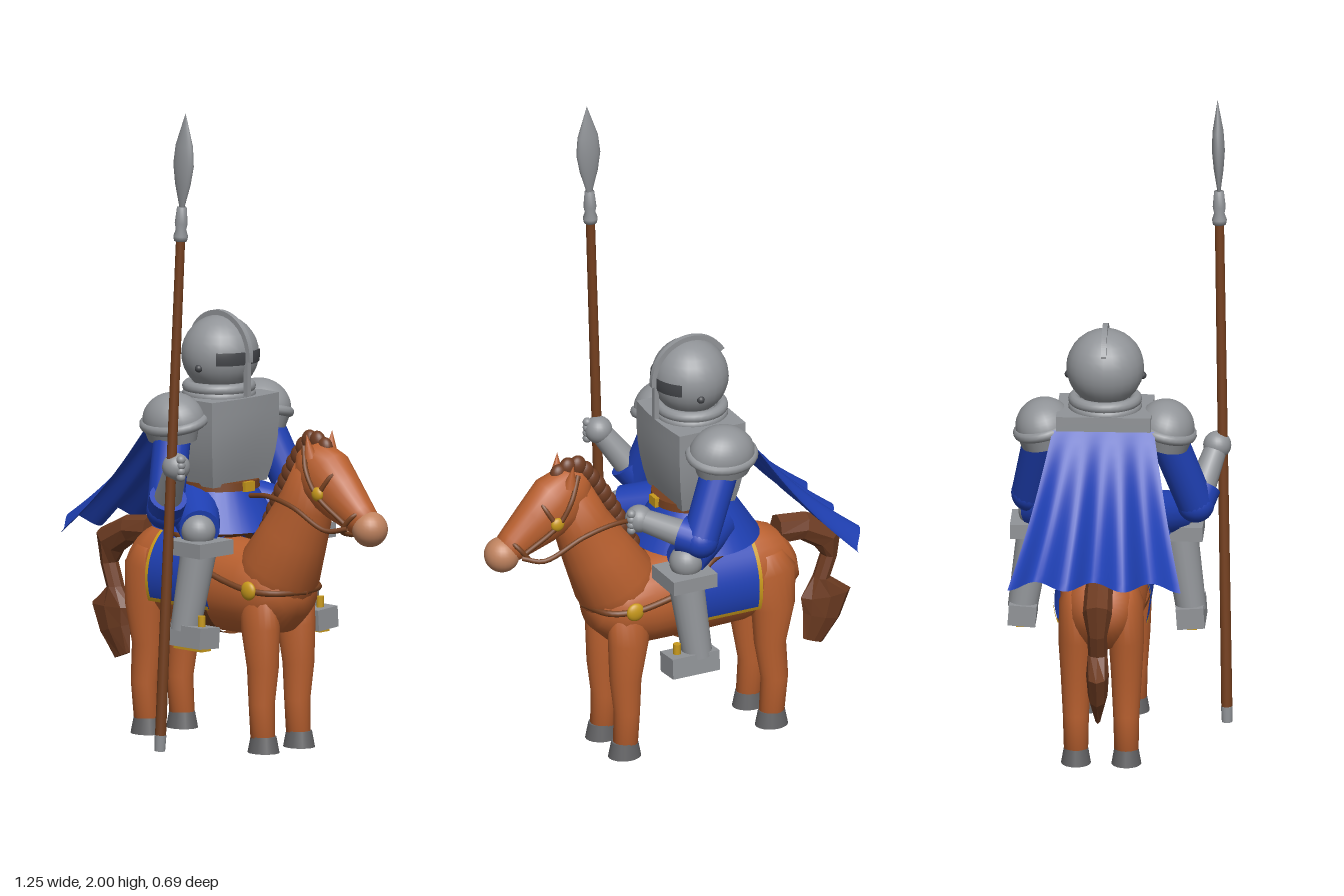
import * as THREE from 'three';

const mat = (name, color, side = THREE.FrontSide) => {
  const m = new THREE.MeshStandardMaterial({ color, side });
  m.name = name;
  return m;
};
const V = (x, y, z) => new THREE.Vector3(x, y, z);
const UP = V(0, 1, 0);

// Elliptical sections [x, y, half thickness, half width in z] along a path in the xy plane
function loft(sections, sides = 20) {
  const pos = [], idx = [], n = sections.length;
  sections.forEach(([x, y, a, b], i) => {
    const p = sections[Math.max(i - 1, 0)], q = sections[Math.min(i + 1, n - 1)];
    const l = Math.hypot(q[0] - p[0], q[1] - p[1]);
    const tx = (q[0] - p[0]) / l, ty = (q[1] - p[1]) / l;
    for (let j = 0; j < sides; j++) {
      const t = (j / sides) * Math.PI * 2, c = Math.cos(t) * a;
      pos.push(x - ty * c, y + tx * c, Math.sin(t) * b);
    }
  });
  const s0 = n * sides, e0 = s0 + 1, last = (n - 1) * sides;
  pos.push(sections[0][0], sections[0][1], 0, sections[n - 1][0], sections[n - 1][1], 0);
  for (let j = 0; j < sides; j++) {
    const k = (j + 1) % sides;
    for (let i = 0; i < n - 1; i++) {
      const r = i * sides, s = r + sides;
      idx.push(r + j, r + k, s + j, r + k, s + k, s + j);
    }
    idx.push(s0, k, j, e0, last + j, last + k);
  }
  const g = new THREE.BufferGeometry();
  g.setAttribute('position', new THREE.Float32BufferAttribute(pos, 3));
  g.setIndex(idx);
  g.computeVertexNormals();
  return g;
}

export function createModel() {
  const root = new THREE.Group(), body = new THREE.Group();
  root.name = 'mountedKnight';
  body.name = 'horseAndRider';
  body.position.z = -0.043;
  root.add(body);

  const coat = mat('chestnut coat', 0xb9602f), dark = mat('dark hair', 0x6e3c22);
  const leather = mat('leather', 0x75401f, THREE.DoubleSide), skin = mat('muzzle skin', 0xc0835f);
  const hoof = mat('hoof grey', 0x626264), steel = mat('steel', 0x919498);
  const cloth = mat('blue cloth', 0x1f40b4, THREE.DoubleSide), gold = mat('gold', 0xc99a1c, THREE.DoubleSide);
  const slot = mat('visor dark', 0x44464a, THREE.DoubleSide);

  const add = (name, geo, m, p = [0, 0, 0], s = [1, 1, 1], r = [0, 0, 0], parent = body) => {
    const mesh = new THREE.Mesh(geo, m);
    mesh.name = name;
    mesh.position.set(...p);
    mesh.scale.set(...s);
    mesh.rotation.set(...r);
    parent.add(mesh);
    return mesh;
  };
  const ball = (name, m, p, r, s) => add(name, new THREE.SphereGeometry(r, 24, 16), m, p, s);
  const limb = (name, m, a, b, ra, rb) => {
    const A = V(...a), d = V(...b).sub(A);
    const mesh = add(name, new THREE.CylinderGeometry(rb, ra, d.length(), 20), m);
    mesh.position.copy(A).addScaledVector(d, 0.5);
    mesh.quaternion.setFromUnitVectors(UP, d.normalize());
    return mesh;
  };
  const tube = (name, m, pts, r) =>
    add(name, new THREE.TubeGeometry(new THREE.CatmullRomCurve3(pts.map(p => V(...p))), 24, r, 8), m);

  // Horse trunk, neck, head and tail
  add('horseBody', loft([[-0.41, 0.55, 0.05, 0.04], [-0.39, 0.54, 0.1, 0.085], [-0.33, 0.515, 0.14, 0.115],
    [-0.22, 0.5, 0.155, 0.13], [-0.05, 0.49, 0.148, 0.13], [0.1, 0.485, 0.14, 0.135],
    [0.2, 0.49, 0.125, 0.125], [0.26, 0.5, 0.08, 0.085], [0.28, 0.5, 0.03, 0.03]], 28), coat);
  add('neck', loft([[0.12, 0.44, 0.11, 0.11], [0.19, 0.57, 0.13, 0.118], [0.25, 0.68, 0.108, 0.095],
    [0.3, 0.78, 0.09, 0.078], [0.34, 0.88, 0.075, 0.065]]), coat);
  add('head', loft([[0.29, 0.93, 0.035, 0.035], [0.32, 0.91, 0.08, 0.06], [0.38, 0.865, 0.1, 0.076],
    [0.45, 0.81, 0.083, 0.065], [0.53, 0.755, 0.056, 0.052], [0.57, 0.728, 0.042, 0.042]]), coat);
  ball('muzzle', skin, [0.569, 0.727, 0], 0.055);
  add('tail', loft([[-0.37, 0.61, 0.05, 0.04], [-0.46, 0.605, 0.045, 0.043], [-0.545, 0.56, 0.055, 0.045],
    [-0.55, 0.49, 0.025, 0.03], [-0.525, 0.42, 0.025, 0.03], [-0.54, 0.36, 0.085, 0.035],
    [-0.525, 0.29, 0.065, 0.03], [-0.495, 0.21, 0.035, 0.01]], 8).toNonIndexed(), dark)
    .geometry.computeVertexNormals();
  // Mane locks along the crest of the neck
  const crest = new THREE.CatmullRomCurve3([V(0.11, 0.64, 0), V(0.18, 0.78, 0), V(0.25, 0.9, 0), V(0.32, 0.975, 0), V(0.375, 0.955, 0)]);
  for (let i = 0; i < 14; i++) {
    const p = crest.getPointAt(i / 13);
    ball('maneLock', dark, [p.x, p.y, 0], 0.028, [1, 1.2, 0.8]);
  }

  // Lance, held upright in the left hand
  const lance = new THREE.Group();
  lance.name = 'lance';
  lance.position.set(0.03, 0.02, 0.367);
  lance.quaternion.setFromUnitVectors(UP, V(0.078, 1.98, -0.033).normalize());
  body.add(lance);
  const lathe = pts => new THREE.LatheGeometry(pts.map(p => new THREE.Vector2(...p)), 20);
  add('lanceShaft', new THREE.CylinderGeometry(0.014, 0.017, 1.56, 16), leather, [0, 0.82, 0], [1, 1, 1], [0, 0, 0], lance);
  add('lanceButt', new THREE.CylinderGeometry(0.018, 0.016, 0.05, 16), steel, [0, 0.025, 0], [1, 1, 1], [0, 0, 0], lance);
  add('lanceSocket', lathe([[0, 1.585], [0.02, 1.585], [0.023, 1.6], [0.016, 1.62], [0.02, 1.64], [0.015, 1.69], [0, 1.69]]),
    steel, [0, 0, 0], [1, 1, 1], [0, 0, 0], lance);
  add('lanceBlade', lathe([[0, 1.68], [0.01, 1.69], [0.03, 1.76], [0.04, 1.82], [0.034, 1.88], [0.014, 1.94], [0, 1.982]]),
    steel, [0, 0, 0], [1, 1, 0.5], [0, 0, 0], lance);

  // Wrapped cloth and straps around the trunk
  const wrap = (name, m, x0, x1, start, len, ry, rz) => add(name,
    new THREE.CylinderGeometry(1, 1, x1 - x0, 40, 1, true, start, len).rotateZ(Math.PI / 2),
    m, [(x0 + x1) / 2, 0.497, 0], [1, ry, rz]);
  const q = Math.PI / 2;
  wrap('saddleBlanket', cloth, -0.245, 0.01, q - 2, 4, 0.165, 0.147);
  wrap('blanketRearTrim', gold, -0.25, -0.238, q - 2, 4, 0.168, 0.15);
  for (const s of [-1, 1]) wrap('blanketLowerTrim', gold, -0.25, 0.01, q + s * 1.98 - 0.04, 0.08, 0.168, 0.15);
  wrap('girth', leather, -0.06, -0.01, 0, Math.PI * 2, 0.162, 0.142);
  ball('saddle', leather, [-0.09, 0.655, 0], 0.12, [1.1, 0.22, 1]);

  // Rider's torso: a breastplate tapering to the waist
  const chest = new THREE.BoxGeometry(0.225, 0.27, 0.29, 6, 6, 6), cp = chest.attributes.position;
  for (let i = 0; i < cp.count; i++) {
    const t = Math.max(0, (0.06 - cp.getY(i)) / 0.195), k = 1 - 0.2 * t * t;
    const bulge = cp.getX(i) > 0.1 ? 0.012 * Math.cos(cp.getZ(i) * 10) * (1 - t) : 0;
    cp.setXYZ(i, cp.getX(i) * k + bulge, cp.getY(i), cp.getZ(i) * k);
  }
  chest.computeVertexNormals();
  add('breastplate', chest, steel, [-0.08, 0.935, 0]);
  add('skirt', new THREE.CylinderGeometry(0.115, 0.2, 0.13, 32, 1, true), cloth, [-0.09, 0.73, 0]);
  add('belt', new THREE.CylinderGeometry(0.123, 0.125, 0.025, 32), leather, [-0.08, 0.797, 0]);
  add('beltBuckle', new THREE.BoxGeometry(0.014, 0.03, 0.04), gold, [0.047, 0.797, 0]);
  for (const y of [1.072, 1.095]) add('gorget', new THREE.TorusGeometry(0.095, 0.018, 12, 32), steel, [-0.08, y, 0], [1, 1, 1], [q, 0, 0]);

  // Helmet with crest, visor slots and rivets
  ball('helmet', steel, [-0.075, 1.195, 0], 0.119);
  const arc = new THREE.Shape();
  arc.absarc(0, 0, 0.134, -0.1, 2.6, false);
  arc.absarc(0, 0, 0.11, 2.6, -0.1, true);
  add('helmetCrest', new THREE.ExtrudeGeometry(arc, { depth: 0.016, bevelEnabled: false, curveSegments: 24 }), steel, [-0.075, 1.195, -0.008]);
  add('noseBar', new THREE.BoxGeometry(0.016, 0.13, 0.016), steel, [0.042, 1.14, 0]);
  for (const s of [-1, 1]) {
    add('visorSlot', new THREE.SphereGeometry(0.1215, 16, 4, s > 0 ? Math.PI + 0.1 - 1 : Math.PI + 0.1, 0.8, 1.42, 0.33),
      slot, [-0.075, 1.195, 0]);
    ball('visorRivet', slot, [-0.055, 1.163, s * 0.113], 0.012);
  }

  // Paired parts
  for (const s of [-1, 1]) {
    const side = s > 0 ? 'left' : 'right', P = (x, y, z) => [x, y, z * s];
    const leg = (name, pts, hx) => {
      add(name, loft(pts), coat, P(0, 0, 0.077));
      add('hoof', new THREE.CylinderGeometry(0.042, 0.052, 0.05, 20), hoof, P(hx, 0.025, 0.077), [1, 1, 0.88]);
    };
    leg('hindLeg', [[-0.3, 0.58, 0.05, 0.03], [-0.305, 0.52, 0.09, 0.052], [-0.32, 0.4, 0.07, 0.054], [-0.31, 0.28, 0.05, 0.047],
      [-0.325, 0.16, 0.043, 0.04], [-0.315, 0.04, 0.04, 0.037]], -0.315);
    leg('frontLeg', [[0.17, 0.5, 0.07, 0.045], [0.175, 0.38, 0.065, 0.053], [0.185, 0.26, 0.05, 0.048],
      [0.18, 0.15, 0.041, 0.04], [0.185, 0.04, 0.039, 0.037]], 0.188);
    add('ear', new THREE.ConeGeometry(0.022, 0.075, 12), coat, P(0.355, 0.965, 0.05), [1, 1, 1], [s * 0.15, 0, 0.1]);

    // Tack
    ball('breastMedallion', gold, P(0.18, 0.505, 0.135), 0.029, [1, 1, 0.5]);
    ball('bridleMedallion', gold, P(0.415, 0.825, 0.073), 0.022, [1, 1, 0.6]);
    tube('breastStrap', leather, [P(-0.03, 0.56, 0.145), P(0.08, 0.525, 0.14), P(0.18, 0.505, 0.132), P(0.25, 0.5, 0.1), P(0.292, 0.5, 0)], 0.01);
    tube('cheekStrap', leather, [P(0.33, 0.96, 0.045), P(0.37, 0.89, 0.076), P(0.415, 0.82, 0.074), P(0.52, 0.74, 0.056)], 0.008);
    tube('rein', leather, [P(0.53, 0.73, 0.06), P(0.47, 0.72, 0.09), P(0.34, 0.78, 0.105), P(0.23, 0.8, 0.1), P(0.14, 0.79, 0.085)], 0.008);
    tube('browBand', leather, [P(0.42, 0.825, 0.075), P(0.45, 0.88, 0.05), P(0.455, 0.9, 0)], 0.008);
    tube('noseBand', leather, [P(0.56, 0.785, 0), P(0.54, 0.765, 0.05), P(0.505, 0.72, 0.055), P(0.49, 0.7, 0)], 0.008);
    tube('stirrupLeather', leather, [P(-0.16, 0.65, 0.12), P(-0.05, 0.62, 0.16), P(0.0, 0.5, 0.17)], 0.011);

    // Armoured leg
    limb('thigh', cloth, P(-0.1, 0.73, 0.09), P(0.05, 0.69, 0.215), 0.08, 0.062);
    ball('kneeCap', steel, P(0.05, 0.685, 0.22), 0.052);
    add('kneePlate', new THREE.BoxGeometry(0.15, 0.045, 0.145), steel, P(0.055, 0.638, 0.222));
    limb('greave', steel, P(0.055, 0.65, 0.218), P(0.03, 0.38, 0.258), 0.056, 0.046);
    add('sabaton', new THREE.BoxGeometry(0.16, 0.065, 0.085), steel, P(0.055, 0.367, 0.257), [1, 1, 1], [s * -0.07, 0, 0]);
    add('stirrupTread', new THREE.BoxGeometry(0.12, 0.009, 0.04), gold, P(0.06, 0.329, 0.257));
    add('stirrupPost', new THREE.CylinderGeometry(0.012, 0.012, 0.04, 12), gold, P(0.1, 0.413, 0.257));

    // Shoulder plates
    add('pauldron', new THREE.SphereGeometry(0.105, 24, 12, 0, Math.PI * 2, 0, q), steel, P(-0.09, 1.005, 0.185), [1, 0.85, 0.85], [s * 0.25, 0, 0]);
    add('pauldronRim', new THREE.TorusGeometry(0.1, 0.016, 10, 32), steel, P(-0.09, 1.005, 0.185), [1, 0.85, 1], [q + s * 0.25, 0, 0]);
    add('pauldronLame', new THREE.CylinderGeometry(0.1, 0.085, 0.05, 24), steel, P(-0.09, 0.975, 0.195), [1, 1, 0.75], [s * 0.15, 0, 0]);

    // Arm: the left grips the lance, the right holds the reins
    const elbow = s > 0 ? [-0.04, 0.745, 0.275] : [0.01, 0.755, -0.235];
    const hand = s > 0 ? [0.068, 0.9, 0.335] : [0.145, 0.795, -0.09];
    const mid = elbow.map((v, i) => v + (hand[i] - v) * 0.3);
    limb(side + 'Sleeve', cloth, P(-0.09, 0.98, 0.19), elbow, 0.058, 0.056);
    ball(side + 'Elbow', cloth, elbow, 0.057);
    limb(side + 'Cuff', cloth, elbow, mid, 0.055, 0.058);
    limb(side + 'Vambrace', steel, elbow, hand, 0.046, 0.034);
    ball(side + 'Gauntlet', steel, hand, 0.043);
    for (let i = 0; i < 4; i++) ball(side + 'Finger', steel, [hand[0] + 0.032, hand[1] - 0.027 + i * 0.018, hand[2] + s * 0.012], 0.014);
  }

  // Cape billowing behind, with folds growing toward the hem
  const cape = new THREE.PlaneGeometry(1, 1, 48, 16), kp = cape.attributes.position;
  for (let i = 0; i < kp.count; i++) {
    const u = kp.getX(i) * 2, v = 0.5 - kp.getY(i);
    const fold = 0.03 * v * Math.cos((u + 1) * Math.PI * 3 + Math.PI) + 0.015 * (1 - v);
    kp.setXYZ(i, -0.18 - 0.355 * v - fold * 0.75, 1.015 - 0.375 * v + fold * 0.75 - 0.03 * Math.sin(v * Math.PI),
      u * (0.155 + 0.11 * v) - 0.012 * v);
  }
  cape.computeVertexNormals();
  add('cape', cape, cloth);

  return root;
}
